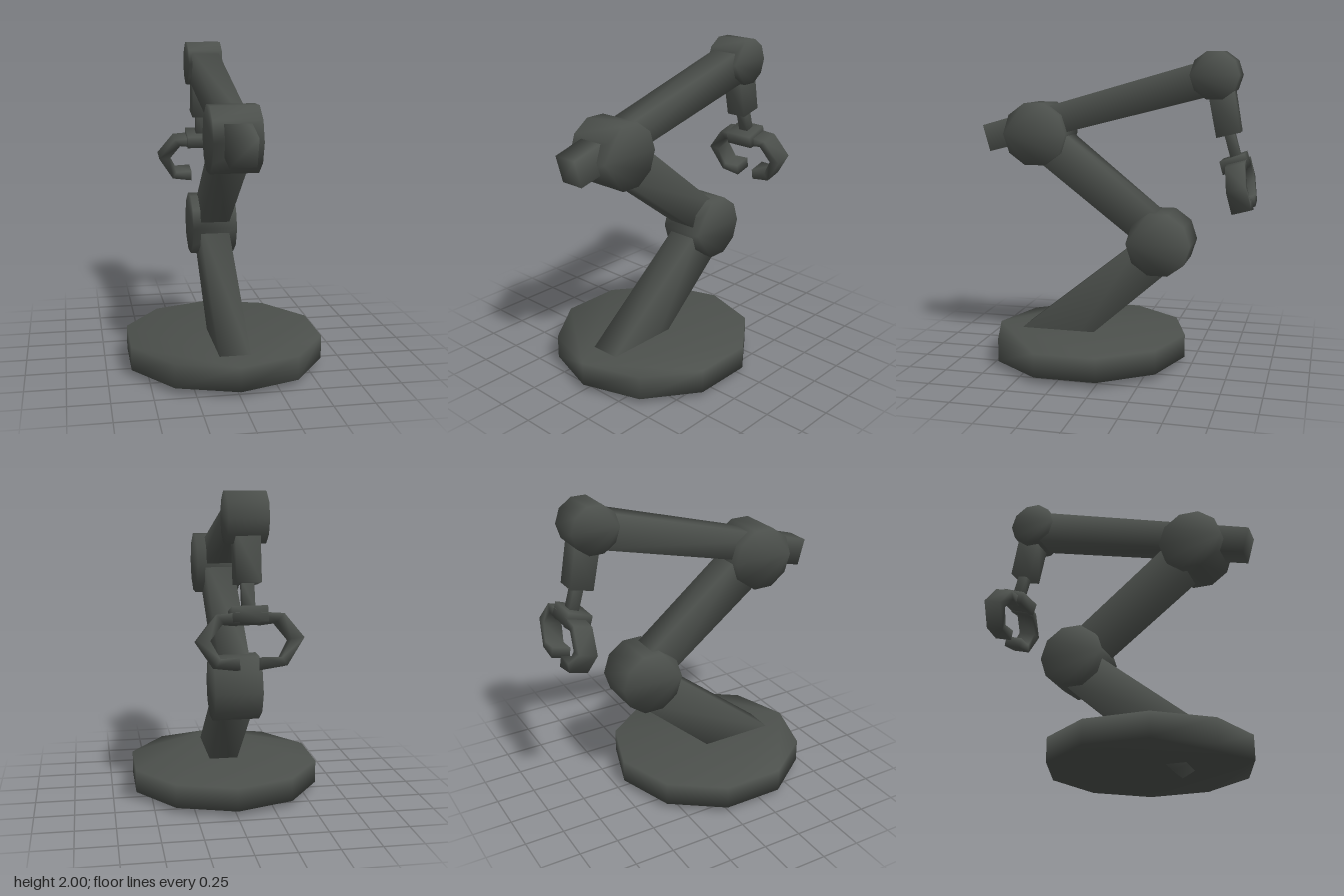
import * as THREE from 'three';

const V = (x, y, z) => new THREE.Vector3(x, y, z);

// Closed solid through a list of equal-sized rings, with shared (smooth) vertices
function loft(rings) {
  const n = rings[0].length, pts = rings.flat(), idx = [];
  for (let r = 0; r < rings.length - 1; r++) {
    for (let i = 0; i < n; i++) {
      const a = r * n + i, b = r * n + (i + 1) % n;
      idx.push(a, b, b + n, a, b + n, a + n);
    }
  }
  const last = (rings.length - 1) * n;
  for (let i = 1; i < n - 1; i++) {
    idx.push(0, i + 1, i, last, last + i, last + i + 1);
  }
  // Turn all faces outward
  let volume = 0;
  for (let i = 0; i < idx.length; i += 3) {
    volume += pts[idx[i]].dot(pts[idx[i + 1]].clone().cross(pts[idx[i + 2]]));
  }
  if (volume < 0) idx.reverse();
  const g = new THREE.BufferGeometry().setFromPoints(pts);
  g.setIndex(idx);
  g.computeVertexNormals();
  return g;
}

// Four-sided beam; each end is [halfWidth, z, y, z, y] for its two side edges
function beam(...ends) {
  return loft(ends.map(([w, z1, y1, z2, y2]) =>
    [V(-w, y1, z1), V(w, y1, z1), V(w, y2, z2), V(-w, y2, z2)]));
}

// Ten-sided drum across the arm
function drum(y, z, r, half) {
  return loft([-half, half].map(x => Array.from({ length: 10 }, (_, i) => {
    const a = i * Math.PI / 5;
    return V(x, y + r * Math.sin(a), z + r * Math.cos(a));
  })));
}

export function createModel() {
  const model = new THREE.Group();
  const metal = new THREE.MeshStandardMaterial({ color: 0x4c504c });
  metal.name = 'dark grey metal';
  const add = (name, geometry) => {
    const mesh = new THREE.Mesh(geometry, metal);
    mesh.name = name;
    model.add(mesh);
  };

  // Ten-sided base plate
  add('base', loft([0.04, 0.19].map(y => Array.from({ length: 10 }, (_, i) => {
    const a = i * Math.PI / 5;
    return V(0.632 * Math.sin(a), y, 0.18 + 0.632 * Math.cos(a));
  }))));

  // Arm segments
  add('lowerArm', beam([0.095, 0.35, 0.0, 0.66, 0.16], [0.095, -0.42, 0.68, -0.21, 0.855]));
  add('middleArm', beam([0.095, 0.56, 1.35, 0.395, 1.54], [0.095, -0.19, 0.775, -0.33, 0.95]));
  add('upperArm', beam([0.079, 0.833, 1.36, 0.88, 1.528], [0.094, -0.668, 1.745, -0.63, 1.962]));

  // Joints
  add('lowerElbow', drum(0.8, -0.295, 0.206, 0.145));
  add('upperElbow', drum(1.48, 0.51, 0.206, 0.145));
  add('wristJoint', drum(1.855, -0.63, 0.152, 0.114));

  // Wrist, rod and palm
  add('wrist', beam([0.07, -0.585, 1.76, -0.74, 1.79], [0.07, -0.642, 1.475, -0.788, 1.51]));
  add('wristRod', beam([0.035, -0.685, 1.5, -0.745, 1.515], [0.035, -0.73, 1.34, -0.79, 1.355]));
  add('palm', beam([0.1, -0.668, 1.332, -0.817, 1.385], [0.1, -0.69, 1.252, -0.843, 1.3]));

  // Two curved fingers: outer x, y then inner x, y along the curve
  const path = [
    [0.06, 1.335, 0.06, 1.27],
    [0.19, 1.325, 0.15, 1.28],
    [0.3, 1.19, 0.227, 1.185],
    [0.2, 1.04, 0.172, 1.085],
    [0.065, 1.022, 0.065, 1.09],
  ];
  for (const side of [1, -1]) {
    const point = (x, y, d) =>
      V(side * x, y + 0.016 * d, -0.77 - (1.335 - y) * 0.165 - 0.058 * d);
    add(side > 0 ? 'leftFinger' : 'rightFinger', loft(path.map(([ox, oy, ix, iy]) =>
      [point(ox, oy, -1), point(ox, oy, 1), point(ix, iy, 1), point(ix, iy, -1)])));
  }
  return model;
}
